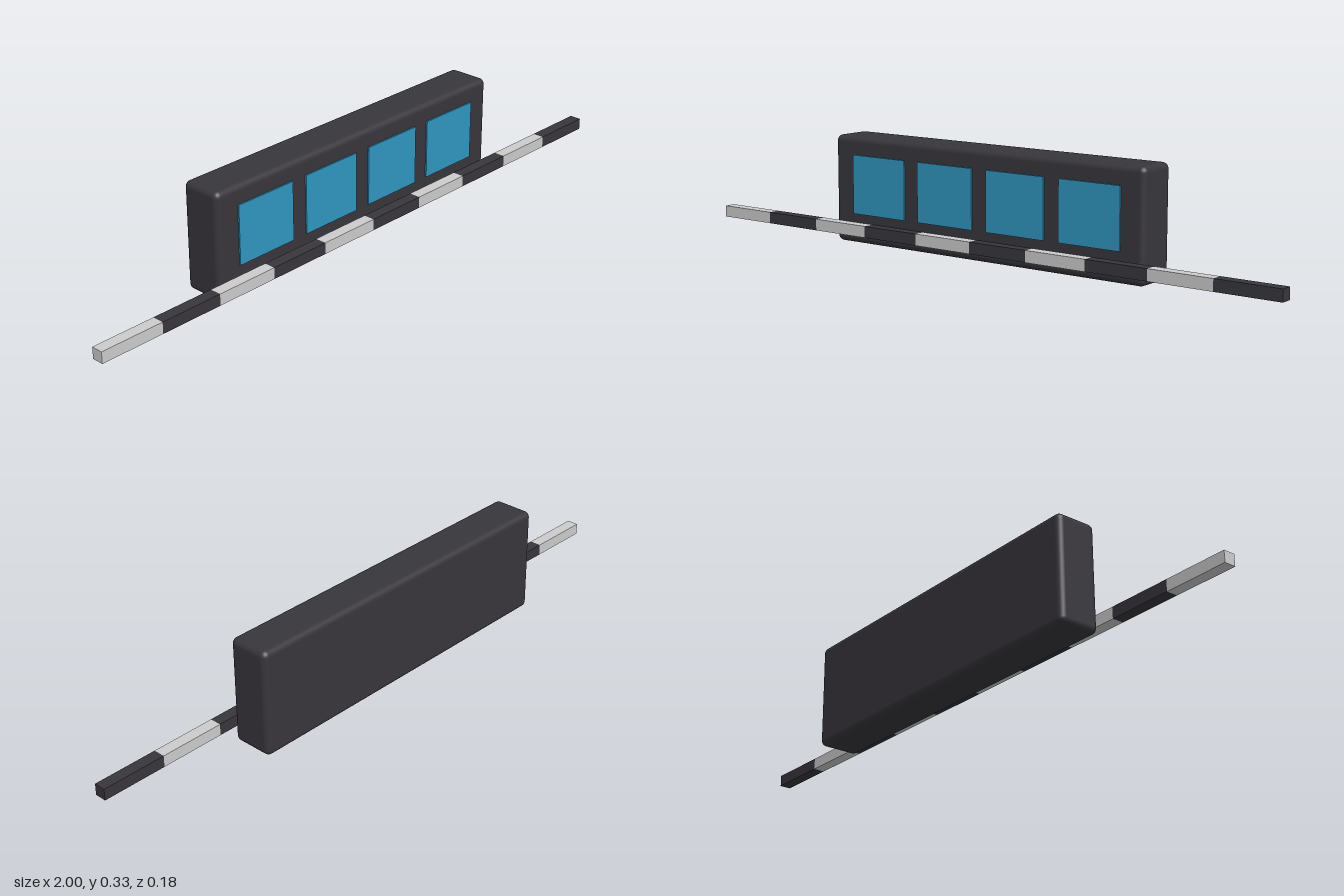
import * as THREE from 'three';
import { RoundedBoxGeometry } from 'three/addons/geometries/RoundedBoxGeometry.js';

export function createModel() {
  const model = new THREE.Group();
  const dark = new THREE.MeshStandardMaterial({ color: 0x38363c });
  dark.name = 'charcoal';
  const light = new THREE.MeshStandardMaterial({ color: 0xcccccc });
  light.name = 'light grey';
  const blue = new THREE.MeshStandardMaterial({ color: 0x2f96c0 });
  blue.name = 'blue';

  const add = (name, geometry, material, x, y, z) => {
    const mesh = new THREE.Mesh(geometry, material);
    mesh.name = name;
    mesh.position.set(x, y, z);
    model.add(mesh);
  };

  // Housing with rounded edges
  add('housing', new RoundedBoxGeometry(1.116, 0.327, 0.13, 4, 0.018), dark, 0, 0.1645, -0.0235);

  // Four thin display panels on the front
  const panel = new THREE.BoxGeometry(0.203, 0.18, 0.008);
  for (let i = 0; i < 4; i++) {
    add(`panel${i + 1}`, panel, blue, (i - 1.5) * 0.2545, 0.182, 0.042);
  }

  // Scale bar of ten alternating segments in front of the housing
  const segment = new THREE.BoxGeometry(0.2, 0.035, 0.036);
  for (let i = 0; i < 10; i++) {
    add(`barSegment${i + 1}`, segment, i % 2 ? dark : light, -0.9 + i * 0.2, 0.0505, 0.071);
  }

  return model;
}
